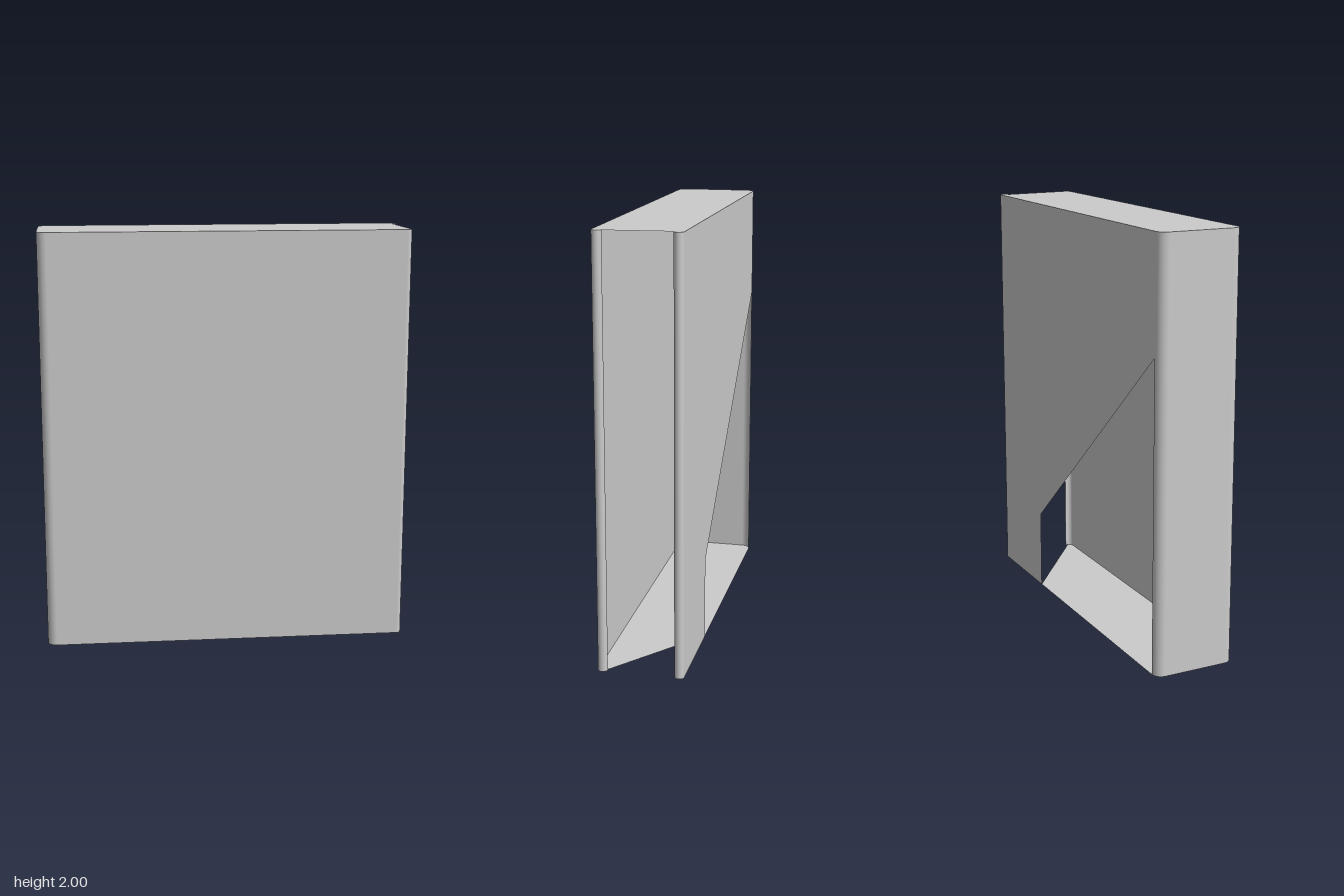
import * as THREE from 'three';

const H = 2, R = 0.045, LIP = 0.0225;      // height, spine corner radius, lip radius
const X0 = -0.83, X1 = 0.8525;             // flat span of the large panels
const Z = 0.2, ZC = Z - R, ZL = Z - LIP;   // half depth, corner and lip centres

export function createModel() {
  const group = new THREE.Group();
  const material = new THREE.MeshStandardMaterial({ color: 0xcccccc, side: THREE.DoubleSide });

  const add = (name, geometry, x = 0, y = 0, z = 0) => {
    const mesh = new THREE.Mesh(geometry, material);
    mesh.name = name;
    mesh.position.set(x, y, z);
    group.add(mesh);
  };
  // Upright curved sheet; angle 0 points to +z, PI/2 to +x
  const bend = (name, r, x, z, start, length) =>
    add(name, new THREE.CylinderGeometry(r, r, H, 10, 1, true, start, length), x, H / 2, z);
  // Horizontal sheet drawn as (x, z)
  const sheet = (name, shape, y) =>
    add(name, new THREE.ShapeGeometry(shape, 10).rotateX(Math.PI / 2), 0, y, 0);

  // Front panel and closed spine
  add('frontPanel', new THREE.PlaneGeometry(X1 - X0, H), (X0 + X1) / 2, H / 2, Z);
  add('spine', new THREE.PlaneGeometry(2 * ZC, H).rotateY(-Math.PI / 2), X0 - R, H / 2, 0);
  bend('spineCornerFront', R, X0, ZC, -Math.PI / 2, Math.PI / 2);
  bend('spineCornerBack', R, X0, -ZC, Math.PI, Math.PI / 2);

  // Rolled lips along the open side
  bend('frontLip', LIP, X1, ZL, 0, Math.PI);
  bend('backLip', LIP, X1, -ZL, 0, Math.PI);

  // Back panel with a sloping cutout beside the spine
  const cutX = 0.39;
  const back = new THREE.Shape([
    [X1, 0], [X1, H], [X0, H], [X0, 1.46], [cutX, 0.39], [cutX, 0],
  ].map(([x, y]) => new THREE.Vector2(x, y)));
  const backGeometry = new THREE.ShapeGeometry(back).rotateY(Math.PI);
  backGeometry.scale(-1, 1, 1);
  // The mirror reverses the winding, so turn the faces outward again
  const index = backGeometry.index;
  for (let i = 0; i < index.count; i += 3) {
    const a = index.getX(i);
    index.setX(i, index.getX(i + 1));
    index.setX(i + 1, a);
  }
  backGeometry.computeVertexNormals();
  add('backPanel', backGeometry, 0, 0, -Z);

  // Outline shared by the top and the floor: front lip, then both spine corners
  const outline = () => new THREE.Shape()
    .moveTo(X1 + LIP, ZL)
    .absarc(X1, ZL, LIP, 0, Math.PI / 2)
    .absarc(X0, ZC, R, Math.PI / 2, Math.PI)
    .absarc(X0, -ZC, R, Math.PI, Math.PI * 1.5);

  // Full top, ending in the back lip
  sheet('top', outline().absarc(X1, -ZL, LIP, -Math.PI / 2, Math.PI / 2), H);

  // Floor cut diagonally at the open side, with a narrow ledge at the back
  sheet('floor', outline().lineTo(cutX, -Z), 0);
  sheet('floorLedge', new THREE.Shape()
    .moveTo(cutX, -Z)
    .absarc(X1, -ZL, LIP, -Math.PI / 2, Math.PI / 2), 0);

  return group;
}
